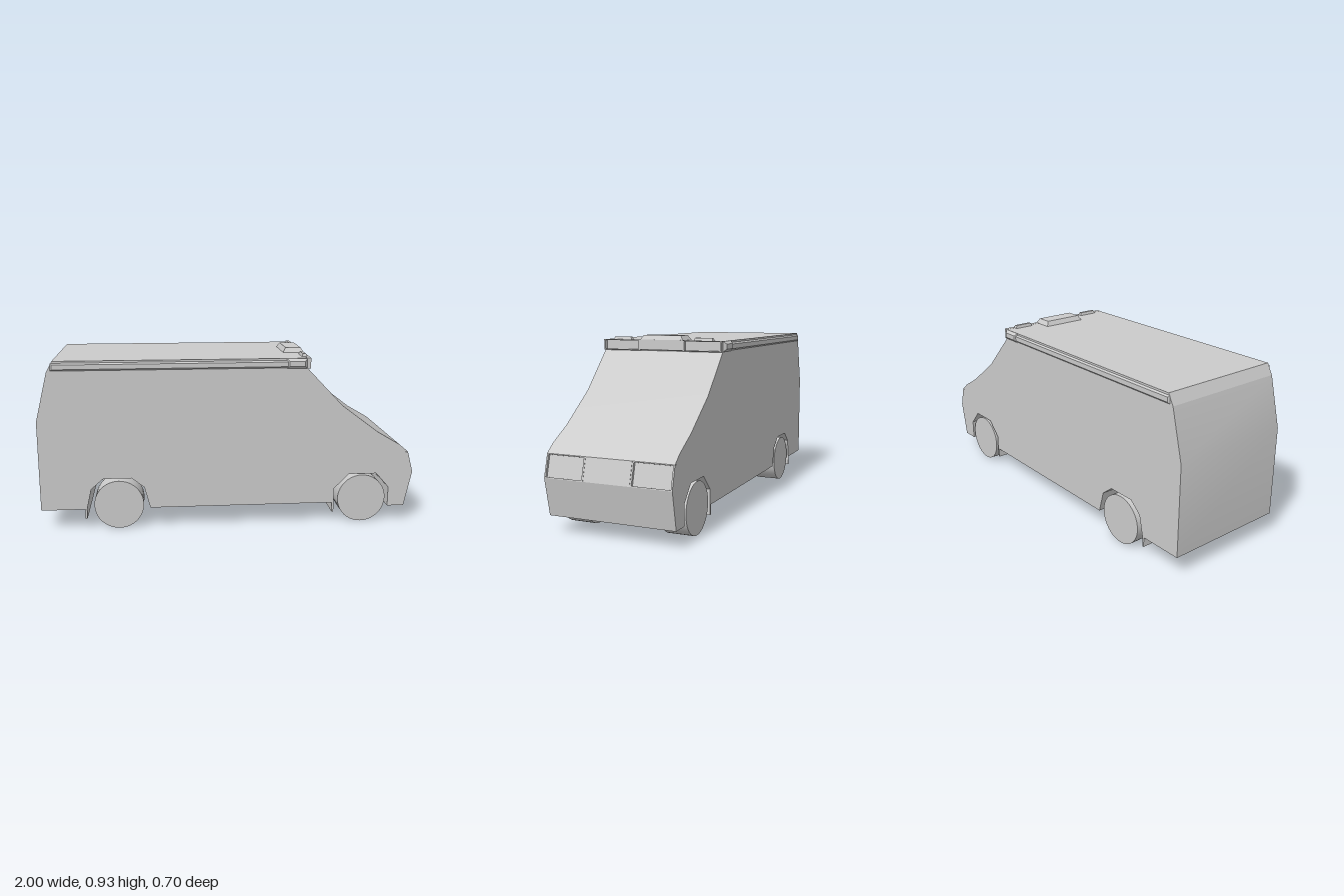
import * as THREE from 'three';
import { toCreasedNormals } from 'three/addons/utils/BufferGeometryUtils.js';

const grey = new THREE.MeshStandardMaterial({ color: 0xcccccc });

export function createModel() {
  const van = new THREE.Group();
  van.name = 'van';

  const add = (name, geometry) => {
    const mesh = new THREE.Mesh(geometry, grey);
    mesh.name = name;
    van.add(mesh);
    return mesh;
  };
  const outline = (points) => new THREE.Shape(points.map(([x, y]) => new THREE.Vector2(x, y)));
  // Side profile in x/y, extruded across the width from z0 to z1
  const slab = (name, points, z0, z1, crease = 0.6) => {
    const geo = new THREE.ExtrudeGeometry(outline(points), { depth: z1 - z0, bevelEnabled: false });
    geo.translate(0, 0, z0);
    return add(name, toCreasedNormals(geo, crease));
  };
  // Block with its top (or outer) face drawn in by an inset in x and z
  const taperedBlock = (name, x, y, z, w, h, d, inset) => {
    const geo = new THREE.BoxGeometry(w, h, d).toNonIndexed();
    const p = geo.attributes.position;
    for (let i = 0; i < p.count; i++) {
      if (p.getY(i) > 0) {
        p.setX(i, p.getX(i) - Math.sign(p.getX(i)) * inset);
        p.setZ(i, p.getZ(i) - Math.sign(p.getZ(i)) * inset);
      }
    }
    geo.computeVertexNormals();
    geo.translate(x, y + h / 2, z);
    return add(name, geo);
  };
  // Rectangular rim facing +x, leaning back by tilt
  const rim = (name, x, y, z, w, h, depth, tilt) => {
    const rect = (a, b) => [[-a, -b], [a, -b], [a, b], [-a, b]];
    const shape = outline(rect(w / 2, h / 2));
    shape.holes.push(outline(rect(w / 2 - 0.008, h / 2 - 0.005)));
    const geo = new THREE.ExtrudeGeometry(shape, { depth, bevelEnabled: false });
    geo.translate(0, 0, -depth);
    const mesh = add(name, geo);
    mesh.position.set(x, y, z);
    mesh.rotation.set(0, Math.PI / 2, tilt, 'ZYX');
  };

  // Body shell with wheel arches and a shallow headlight recess in the nose
  slab('body', [
    [-1, 0.11], [-0.76, 0.11], [-0.735, 0.22], [-0.67, 0.277], [-0.52, 0.277],
    [-0.455, 0.225], [-0.425, 0.11], [0.57, 0.11], [0.57, 0.19], [0.65, 0.27],
    [0.8, 0.27], [0.87, 0.19], [0.87, 0.083], [0.96, 0.083], [1, 0.275],
    [0.987, 0.275], [0.957, 0.388], [0.97, 0.388], [0.92, 0.43], [0.8, 0.5],
    [0.6, 0.65], [0.41, 0.85], [-0.935, 0.85], [-1, 0.59],
  ], -0.335, 0.335);

  // Nose panel between the headlights
  slab('nosePanel', [[0.987, 0.275], [1, 0.275], [0.97, 0.388], [0.957, 0.388]], -0.122, 0.122);

  // Roof cap
  slab('roof', [[-0.935, 0.85], [0.405, 0.85], [0.405, 0.905], [-0.905, 0.905]], -0.335, 0.335);

  // Roof spoiler housing and its raised top
  slab('spoilerHousing', [[0.4, 0.85], [0.425, 0.855], [0.425, 0.907], [0.4, 0.907]], -0.122, 0.122);
  taperedBlock('spoilerTop', 0.368, 0.904, 0, 0.114, 0.026, 0.244, 0.016);

  // Mud flaps behind each axle
  for (const x of [-0.765, 0.565]) {
    const flap = add('mudFlap', new THREE.BoxGeometry(0.01, 0.07, 0.67));
    flap.position.set(x, 0.093, 0);
  }

  for (const s of [1, -1]) {
    // Headlight and roof lamp rims
    rim('headlightRim', 0.985, 0.3315, s * 0.229, 0.212, 0.117, 0.013, 0.26);
    rim('roofLampRim', 0.425, 0.878, s * 0.2285, 0.213, 0.056, 0.022, 0);

    // Small raised lights on the roof edge
    taperedBlock('roofLight', 0.4, 0.904, s * 0.23, 0.028, 0.016, 0.106, 0.006);

    // Gutter rail along the roof side, tapering at both ends
    const rail = taperedBlock('roofRail', 0, 0, 0, 1.3, 0.008, 0.04, 0.008);
    rail.rotation.x = s * Math.PI / 2;
    rail.position.set(-0.265, 0.875, s * 0.335);

    // Corner cap at the front end of the rail
    const cap = taperedBlock('roofCornerCap', 0, 0, 0, 0.11, 0.016, 0.054, 0.014);
    cap.rotation.x = s * Math.PI / 2;
    cap.position.set(0.352, 0.878, s * 0.334);

    // Wheels
    for (const x of [-0.59, 0.722]) {
      const wheel = add('wheel', new THREE.CylinderGeometry(0.131, 0.131, 0.133, 40));
      wheel.rotation.x = Math.PI / 2;
      wheel.position.set(x, 0.131, s * 0.267);
    }
  }
  return van;
}
